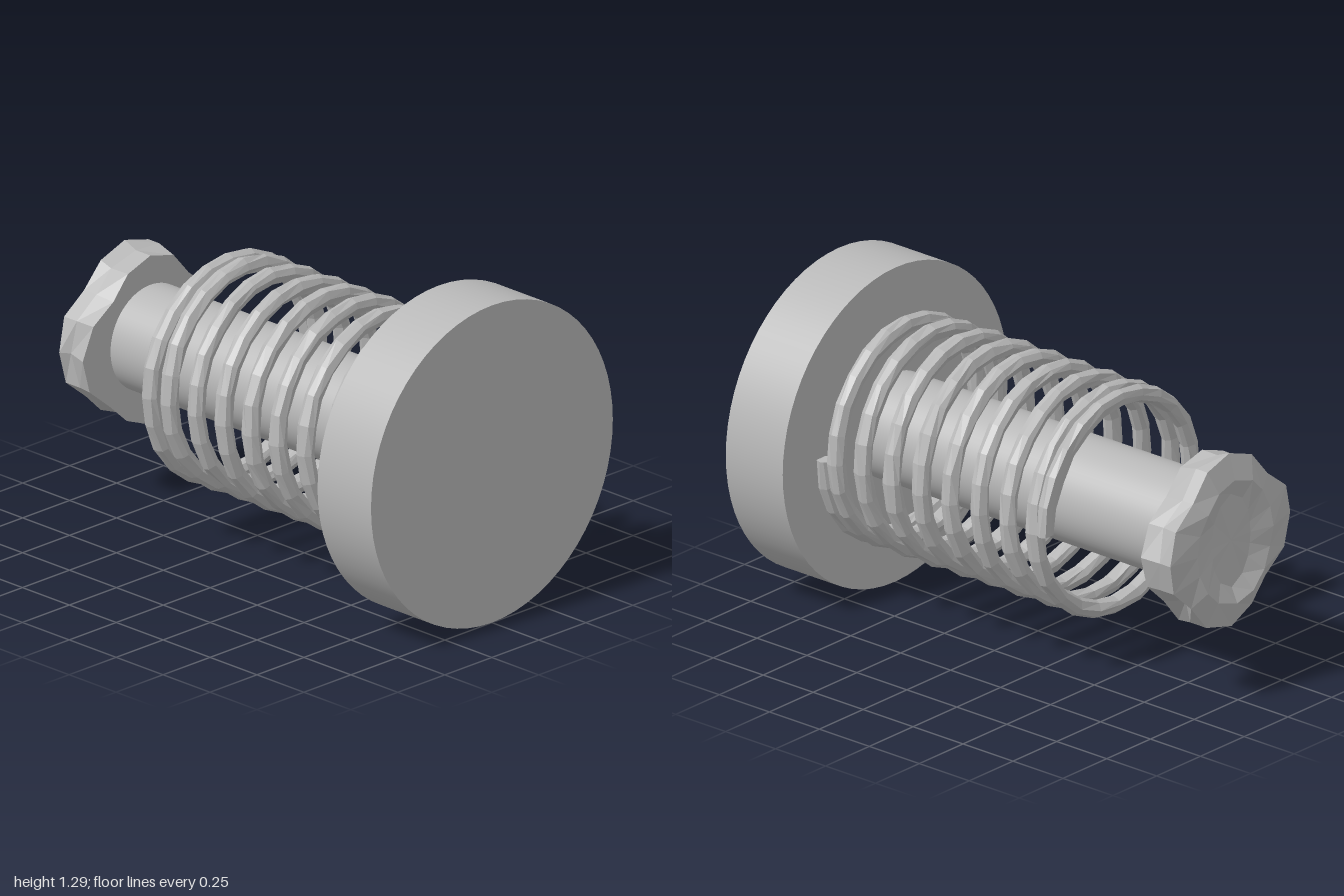
import * as THREE from 'three';

const AXIS_Y = 0.643;

// Small seeded generator giving values in -1..1
function seeded(seed) {
  let s = seed;
  return () => {
    s = (s * 16807) % 2147483647;
    return (s / 2147483647) * 2 - 1;
  };
}

// Skin a list of equally long closed rings with separate flat faces
function loft(rings) {
  const pos = [];
  const tri = (...pts) => pts.forEach((p) => pos.push(p.x, p.y, p.z));
  for (let i = 0; i < rings.length - 1; i++) {
    const r = rings[i], s = rings[i + 1], n = r.length;
    for (let j = 0; j < n; j++) {
      const k = (j + 1) % n;
      if (r[j] !== r[k]) tri(r[j], r[k], s[j]);
      if (s[j] !== s[k]) tri(r[k], s[k], s[j]);
    }
  }
  const geo = new THREE.BufferGeometry();
  geo.setAttribute('position', new THREE.Float32BufferAttribute(pos, 3));
  geo.computeVertexNormals();
  return geo;
}

// Coil centre height along z for a given turn; end turns are squeezed
function coilZ(turn) {
  const keys = [[-1.75, 0.70], [-1.5, 0.688], [-1, 0.665], [-0.5, 0.612], [0, 0.54],
    [6, -0.33], [6.5, -0.382], [7, -0.402], [7.25, -0.41]];
  for (let i = 1; i < keys.length; i++) {
    const [t0, z0] = keys[i - 1], [t1, z1] = keys[i];
    if (turn <= t1) return z0 + ((z1 - z0) * (turn - t0)) / (t1 - t0);
  }
  return keys[keys.length - 1][1];
}

// Rough wire wound around the shaft with ground flat ends
function springGeometry() {
  const rand = seeded(71), rings = [], steps = 9 * 24, sides = 8;
  const centre = (turn) => {
    const a = turn * Math.PI * 2;
    return new THREE.Vector3(Math.sin(a) * 0.425, Math.cos(a) * 0.425, coilZ(turn));
  };
  for (let i = 0; i <= steps; i++) {
    const turn = -1.75 + (9 * i) / steps, a = turn * Math.PI * 2;
    const c = centre(turn), ring = [];
    for (let j = 0; j < sides; j++) {
      const th = ((j + 0.25 * rand()) / sides) * Math.PI * 2;
      const w = 0.035 + 0.0025 * rand(), out = 0.425 + w * Math.cos(th);
      const z = THREE.MathUtils.clamp(c.z + w * Math.sin(th), -0.43, 0.716);
      ring.push(new THREE.Vector3(Math.sin(a) * out, Math.cos(a) * out, z));
    }
    rings.push(ring);
  }
  rings.unshift(Array(sides).fill(centre(-1.75)));
  rings.push(Array(sides).fill(centre(7.25)));
  return loft(rings);
}

// Rough lobed nut with an upright oval hollow in its end
function nutGeometry() {
  const rand = seeded(29);
  const lobes = [0.36, 0.35, 0.31, 0.34, 0.35, 0.34, 0.31, 0.35,
    0.355, 0.33, 0.31, 0.35, 0.36, 0.34, 0.30, 0.34];
  const n = lobes.length;
  const ring = (z, radius, jitter) => lobes.map((lobe, j) => {
    const a = (j / n) * Math.PI * 2, r = radius(lobe, a, j);
    return new THREE.Vector3(Math.sin(a) * r, Math.cos(a) * r, z + jitter * rand());
  });
  const oval = (rx, ry) => (lobe, a) => 1 / Math.hypot(Math.sin(a) / rx, Math.cos(a) / ry);
  const point = (z) => Array(n).fill(new THREE.Vector3(0, 0, z));
  return loft([
    point(-0.82),
    ring(-0.82, (l, a) => l - 0.03 * Math.max(0, Math.cos(a)), 0),
    ring(-0.895, (l, a, j) => l - (j % 3 === 0 ? 0.03 : 0.005), 0.02),
    ring(-0.96, (l) => l - 0.005, 0.012),
    ring(-0.99, oval(0.21, 0.25), 0.008),
    ring(-0.965, oval(0.11, 0.19), 0.004),
    point(-0.965),
  ]);
}

export function createModel() {
  const model = new THREE.Group();
  const steel = new THREE.MeshStandardMaterial({ color: 0xb8b8b8 });
  steel.name = 'steel grey';
  const roughSteel = steel;

  const add = (name, geometry) => {
    const mesh = new THREE.Mesh(geometry, roughSteel);
    mesh.name = name;
    mesh.position.y = AXIS_Y;
    model.add(mesh);
  };
  // Round bar lying along z
  const bar = (radius, z0, z1) => new THREE.CylinderGeometry(radius, radius, z1 - z0, 64)
    .rotateX(Math.PI / 2).translate(0, 0, (z0 + z1) / 2);

  add('buttonHead', bar(0.643, 0.715, 1));
  add('shaft', bar(0.212, -0.84, 0.73));
  add('spring', springGeometry());
  add('endNut', nutGeometry());
  return model;
}
